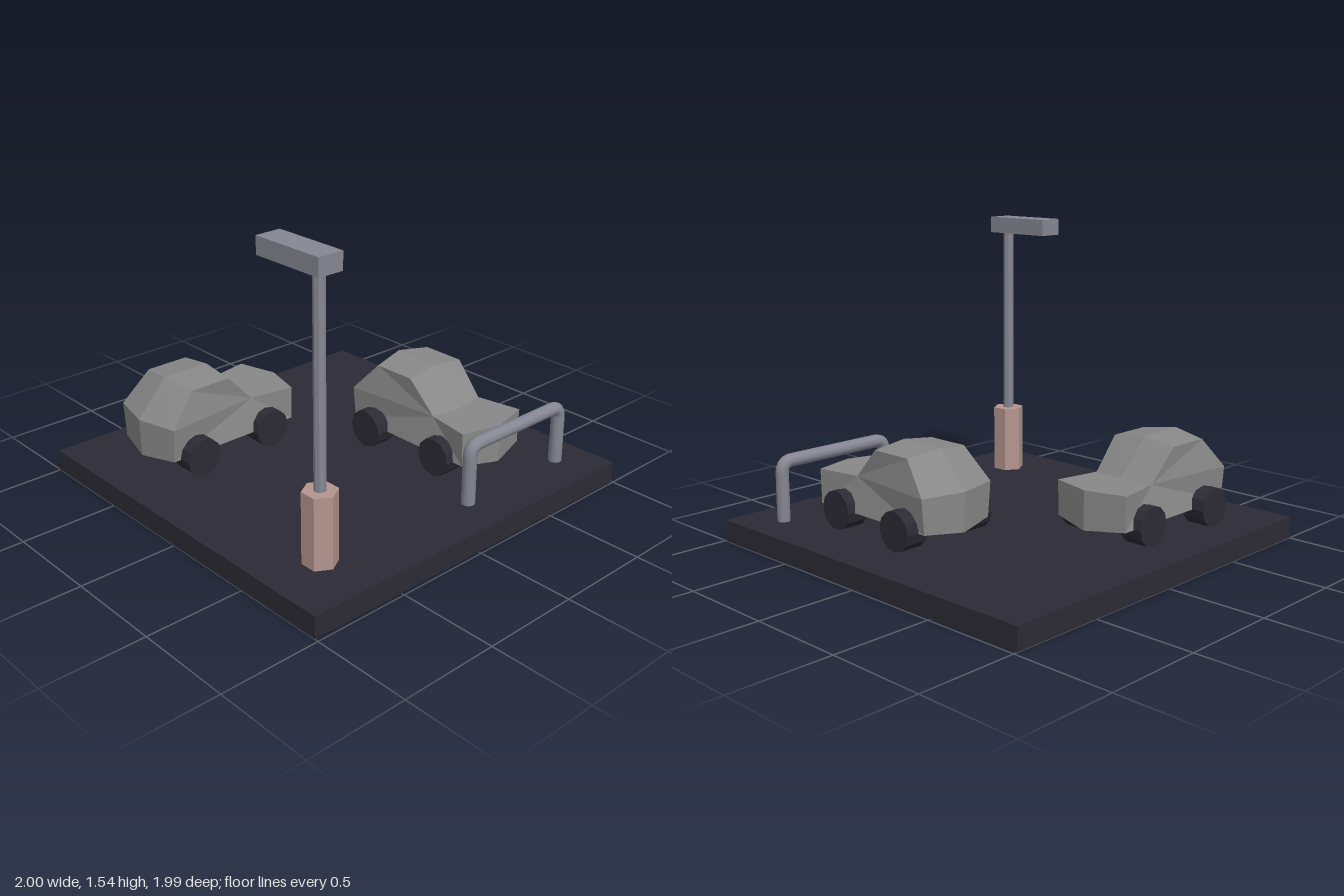
import * as THREE from 'three';

const mat = (color, extra = {}) => new THREE.MeshStandardMaterial({ color, flatShading: true, ...extra });
const darkMat = mat(0x2c2a34, { side: THREE.DoubleSide });
const tyreMat = mat(0x2c2a34);
const metalMat = mat(0x878794);
const tubeMat = new THREE.MeshStandardMaterial({ color: 0x878794 });
const footMat = mat(0xb4958f);
const bodyMat = mat(0x888888);

function add(parent, name, geometry, material, x = 0, y = 0, z = 0) {
  const mesh = new THREE.Mesh(geometry, material);
  mesh.name = name;
  mesh.position.set(x, y, z);
  parent.add(mesh);
  return mesh;
}

// Ground slab: slightly skewed shell, open underneath
function slabGeometry() {
  const g = new THREE.BoxGeometry(2, 0.11, 2);
  const index = Array.from(g.index.array);
  index.splice(18, 6); // drop the bottom face
  g.setIndex(index);
  g.clearGroups();
  const p = g.attributes.position;
  for (let i = 0; i < p.count; i++) {
    const x = p.getX(i), z = p.getZ(i);
    if (x > 0 && z < 0) p.setX(i, 0.98);
    if (z > 0) p.setZ(i, x > 0 ? 0.99 : 0.98);
  }
  g.computeVertexNormals();
  return g;
}

// Car shell: a lengthwise ring of stations, each with a centre and a side point
// [centre z, centre y, side z, side y, half width]
const STATIONS = [
  [0.44, 0.185, 0.385, 0.205, 0.205],   // nose, low
  [0.44, 0.38, 0.385, 0.38, 0.21],      // nose, belt
  [0.172, 0.38, 0.15, 0.38, 0.168],     // windscreen base
  [0, 0.56, 0, 0.537, 0.18],            // roof front
  [-0.26, 0.56, -0.228, 0.537, 0.18],   // roof rear
  [-0.42, 0.38, -0.367, 0.38, 0.22],    // tail, belt
  [-0.415, 0.185, -0.365, 0.205, 0.205] // tail, low
];

function carGeometry() {
  const out = [];
  const n = STATIONS.length;
  for (const s of [1, -1]) {
    const centre = STATIONS.map(([z, y]) => [0, y, z]);
    const side = STATIONS.map(([, , z, y, w]) => [s * w, y, z]);
    const tri = (a, b, c) => out.push(...a, ...(s > 0 ? b : c), ...(s > 0 ? c : b));
    for (let i = 0; i < n; i++) {
      const j = (i + 1) % n;
      tri(centre[i], side[i], side[j]);
      tri(centre[i], side[j], centre[j]);
    }
    // flank and cabin side
    for (const [a, b, c] of [[0, 6, 2], [0, 2, 1], [6, 5, 2], [2, 5, 4], [2, 4, 3]]) {
      tri(side[a], side[b], side[c]);
    }
  }
  const g = new THREE.BufferGeometry();
  g.setAttribute('position', new THREE.Float32BufferAttribute(out, 3));
  g.computeVertexNormals();
  return g;
}

function makeCar(name) {
  const car = new THREE.Group();
  car.name = name;
  add(car, 'carBody', carGeometry(), bodyMat);
  const wheel = new THREE.CylinderGeometry(0.098, 0.098, 0.12, 12).rotateZ(Math.PI / 2);
  for (const s of [1, -1]) {
    add(car, 'frontWheel', wheel, tyreMat, s * 0.185, 0.208, 0.227);
    add(car, 'rearWheel', wheel, tyreMat, s * 0.21, 0.208, -0.227);
  }
  return car;
}

// Barrier rail: two legs and a bar with rounded corners
function railGeometry(x0, x1, y0, y1, r) {
  const v = (x, y) => new THREE.Vector3(x, y, 0);
  const path = new THREE.CurvePath();
  path.add(new THREE.LineCurve3(v(x0, y0), v(x0, y1 - r)));
  path.add(new THREE.QuadraticBezierCurve3(v(x0, y1 - r), v(x0, y1), v(x0 + r, y1)));
  path.add(new THREE.LineCurve3(v(x0 + r, y1), v(x1 - r, y1)));
  path.add(new THREE.QuadraticBezierCurve3(v(x1 - r, y1), v(x1, y1), v(x1, y1 - r)));
  path.add(new THREE.LineCurve3(v(x1, y1 - r), v(x1, y0)));
  return new THREE.TubeGeometry(path, 72, 0.034, 10, false);
}

export function createModel() {
  const model = new THREE.Group();
  model.name = 'parkingLot';

  add(model, 'groundSlab', slabGeometry(), darkMat, 0, 0.055, 0);

  // Parked cars
  const sideCar = makeCar('rearCar');
  sideCar.rotation.y = Math.PI / 2;
  sideCar.position.set(-0.375, 0, -0.55);
  const frontCar = makeCar('frontCar');
  frontCar.position.set(0.47, 0, 0.243);
  model.add(sideCar, frontCar);

  // Street lamp
  const lamp = new THREE.Group();
  lamp.name = 'streetLamp';
  lamp.position.set(-0.708, 0, 0.687);
  add(lamp, 'lampFoot', new THREE.CylinderGeometry(0.084, 0.084, 0.355, 6), footMat, 0, 0.2875, 0);
  add(lamp, 'lampPole', new THREE.CylinderGeometry(0.028, 0.028, 1, 8), metalMat, 0, 0.96, 0);
  add(lamp, 'lampHead', new THREE.BoxGeometry(0.13, 0.085, 0.387), metalMat, 0, 1.4975, -0.122);
  model.add(lamp);

  add(model, 'barrierRail', railGeometry(0.152, 0.803, 0.11, 0.41, 0.055), tubeMat, 0, 0, 0.775);

  return model;
}
